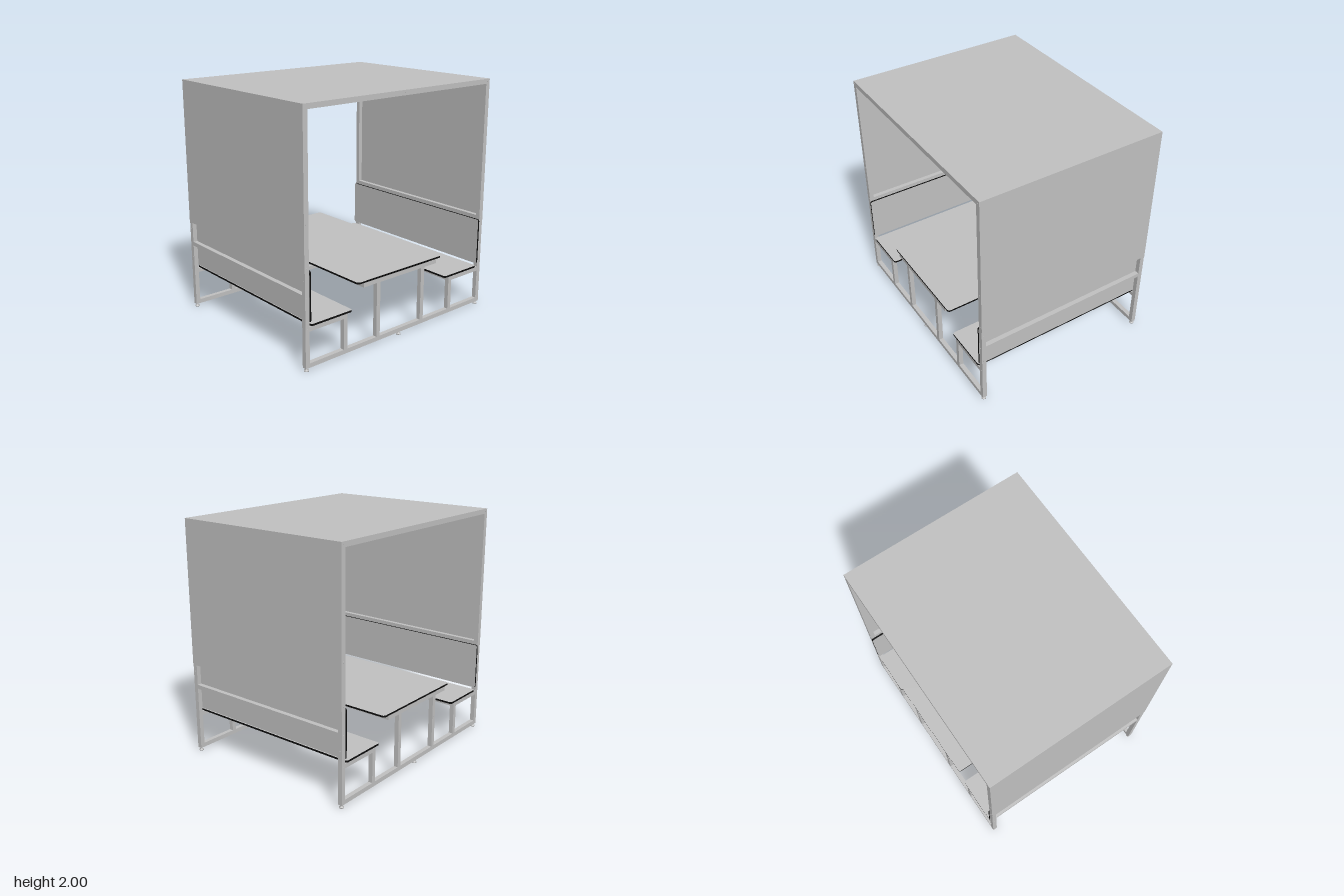
import * as THREE from 'three';

const T = 0.038; // square tube size

export function createModel() {
  const model = new THREE.Group();
  model.name = 'shelteredPicnicTable';
  const steel = new THREE.MeshStandardMaterial({ color: 0xc0c0c0 });
  steel.name = 'light grey';
  const edging = new THREE.MeshStandardMaterial({ color: 0x0d0d0d });
  edging.name = 'black edging';

  // Box given by its minimum and maximum corners
  function bar(name, x0, x1, y0, y1, z0, z1, parent = model) {
    const m = new THREE.Mesh(new THREE.BoxGeometry(x1 - x0, y1 - y0, z1 - z0), steel);
    m.position.set((x0 + x1) / 2, (y0 + y1) / 2, (z0 + z1) / 2);
    m.name = name;
    parent.add(m);
    return m;
  }

  // Board with rounded corners, grey faces and black edges, lying in xy and extruded along z
  function board(name, w, h, r, t, parent = model) {
    const a = w / 2, b = h / 2, s = new THREE.Shape();
    s.moveTo(-a + r, -b);
    s.lineTo(a - r, -b);
    s.absarc(a - r, -b + r, r, -Math.PI / 2, 0);
    s.absarc(a - r, b - r, r, 0, Math.PI / 2);
    s.absarc(-a + r, b - r, r, Math.PI / 2, Math.PI);
    s.absarc(-a + r, -b + r, r, Math.PI, Math.PI * 1.5);
    const g = new THREE.ExtrudeGeometry(s, { depth: t, bevelEnabled: false, curveSegments: 6 });
    g.translate(0, 0, -t / 2);
    const m = new THREE.Mesh(g, [steel, edging]);
    m.name = name;
    parent.add(m);
    return m;
  }

  const boltGeo = new THREE.CylinderGeometry(0.007, 0.007, 0.004, 10);
  function bolt(x, y, z, axis) {
    const m = new THREE.Mesh(boltGeo, steel);
    if (axis === 'x') m.rotation.z = Math.PI / 2;
    if (axis === 'z') m.rotation.x = Math.PI / 2;
    m.position.set(x, y, z);
    m.name = 'bolt';
    model.add(m);
  }

  const X = 0.975, Z = 0.795, Y = 1.997; // outer faces of the frame
  const ZI = Z - T, XI = X - T;

  // Front and back portal frames
  const footProfile = [[0, 0], [0.019, 0], [0.019, 0.007], [0.008, 0.011], [0.008, 0.028]]
    .map(([x, y]) => new THREE.Vector2(x, y));
  const footGeo = new THREE.LatheGeometry(footProfile, 14);
  for (const s of [-1, 1]) {
    const frame = new THREE.Group();
    frame.name = s > 0 ? 'frontFrame' : 'backFrame';
    model.add(frame);
    const z0 = s > 0 ? ZI : -Z, z1 = z0 + T;
    bar('topBeam', -X, X, Y - T, Y, z0, z1, frame);
    bar('bottomBeam', -XI, XI, 0.027, 0.063, z0, z1, frame);
    bar('tableCrossbar', -0.405, 0.405, 0.522, 0.56, z0, z1, frame);
    for (const k of [-1, 1]) {
      const mirrored = (name, a, b, y0, y1) =>
        bar(name, Math.min(k * a, k * b), Math.max(k * a, k * b), y0, y1, z0, z1, frame);
      mirrored('post', XI, X, 0.027, Y - T);
      mirrored('tableLeg', 0.228, 0.265, 0.063, 0.522);
      mirrored('seatLeg', 0.569, 0.605, 0.063, 0.32);
      mirrored('seatBracket', 0.569, XI, 0.32, 0.357);
      for (const y of [0.335, 0.585, 0.81, 1.145, 1.98]) bolt(k * 0.956, y, s * Z, 'z');
      bolt(k * 0.247, 0.335, s * Z, 'z');
      for (const y of [0.46, 0.72]) bolt(k * X, y, s * 0.776, 'x');
    }
    bolt(0, 1.98, s * Z, 'z');
    for (const x of [-0.956, 0, 0.956]) {
      const foot = new THREE.Mesh(footGeo, steel);
      foot.position.set(x, 0, s * 0.776);
      foot.name = 'foot';
      frame.add(foot);
    }
  }

  // Roof sheet with its middle beam
  bar('roof', -X, X, Y, 2, -Z, Z);
  bar('roofBeam', -T / 2, T / 2, Y - T, Y, -ZI, ZI);

  // Table
  const top = board('tableTop', 0.93, 1.596, 0.025, 0.015);
  top.rotation.x = Math.PI / 2;
  top.position.y = 0.5675;

  // Both sides: wall, rails, bench and table rail
  for (const k of [-1, 1]) {
    const rail = (name, a, b, y0, y1) =>
      bar(name, Math.min(k * a, k * b), Math.max(k * a, k * b), y0, y1, -ZI, ZI);
    bar('sideWall', k * 0.9765 - 0.0015, k * 0.9765 + 0.0015, 0.78, 2, -Z, Z);
    rail('roofSideRail', XI, X, Y - T, Y);
    rail('wallRail', XI, X, 0.785, 0.823);
    rail('backrestRail', XI, X, 0.572, 0.607);
    rail('seatRailFront', 0.569, 0.605, 0.32, 0.357);
    rail('seatRailRear', 0.76, 0.796, 0.32, 0.357);
    rail('tableRail', 0.368, 0.405, 0.522, 0.56);
    bolt(k * X, 0.589, 0, 'x');

    const seat = board('seat', 0.4, 1.594, 0.02, 0.016);
    seat.rotation.x = Math.PI / 2;
    seat.position.set(k * 0.72, 0.365, 0);

    const back = board('backrest', 1.594, 0.4, 0.015, 0.015);
    back.rotation.y = Math.PI / 2;
    back.position.set(k * 0.929, 0.59, 0);
  }
  return model;
}
